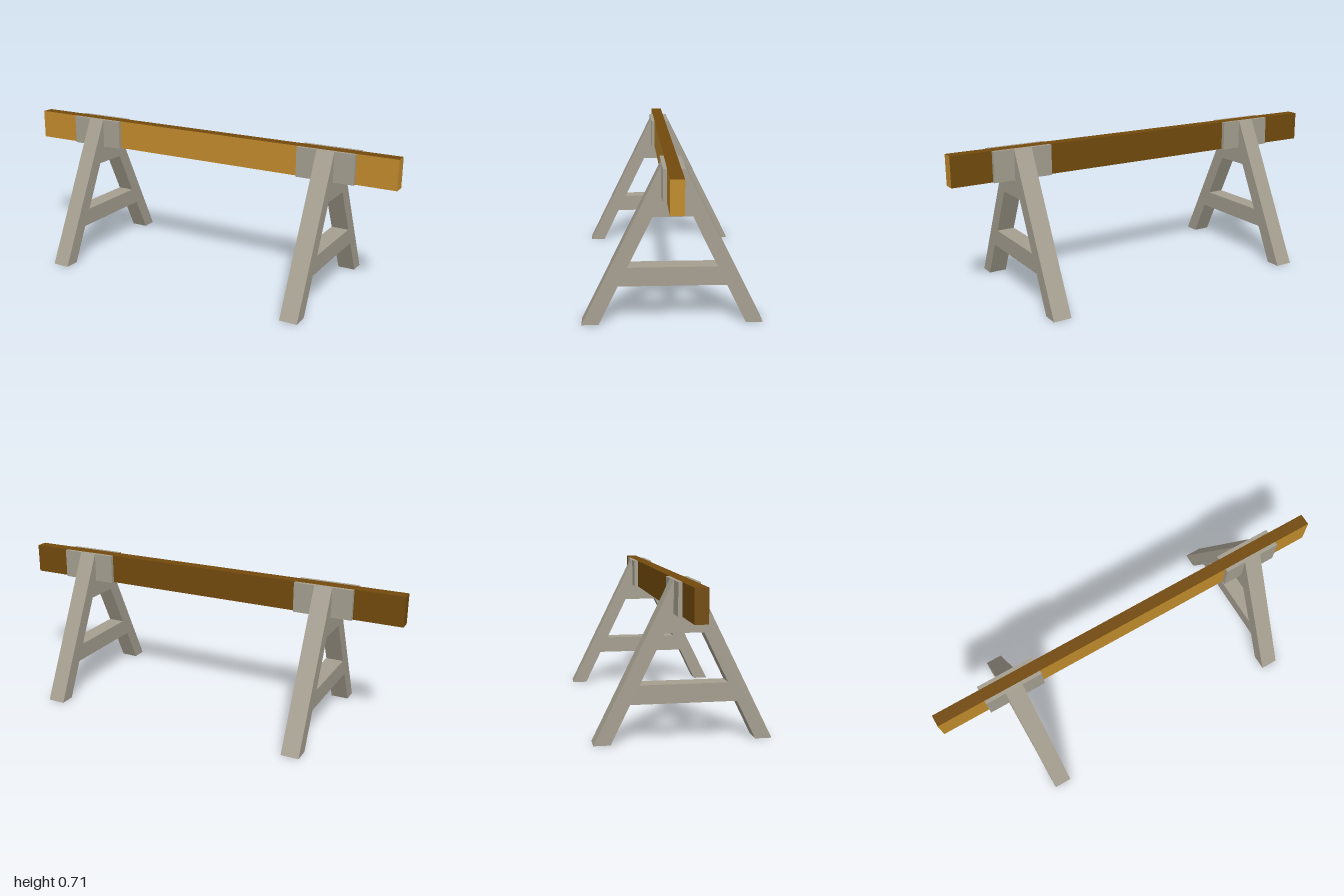
import * as THREE from 'three';

const wood = new THREE.MeshStandardMaterial({ color: 0xa59f90 });
wood.name = 'weathered grey wood';
const gold = new THREE.MeshStandardMaterial({ color: 0xc18b2c });
gold.name = 'golden wood';
const brown = new THREE.MeshStandardMaterial({ color: 0x724a0c });
brown.name = 'dark brown wood';

const LEG_WIDTH = 0.086;
const PLATE_LENGTH = 0.284;
const BEAM_BOTTOM = 0.563, TOP = 0.706;
const BEAM_HALF = 0.029, PLATE_OUTER = 0.047;
const FOOT_OUTER = 0.395, FOOT_INNER = 0.32, CROTCH = 0.56;

// Extrudes a (z, y) outline along x, centred on x = 0
function slab(name, points, width) {
  const shape = new THREE.Shape(points.map(([z, y]) => new THREE.Vector2(-z, y)));
  const geometry = new THREE.ExtrudeGeometry(shape, { depth: width, bevelEnabled: false });
  geometry.translate(0, 0, -width / 2).rotateY(Math.PI / 2);
  const mesh = new THREE.Mesh(geometry, wood);
  mesh.name = name;
  return mesh;
}

// Distance from the centre to the inner face of a leg at height y
const innerFace = (y) => FOOT_INNER + (PLATE_OUTER - FOOT_INNER) * (y / CROTCH);

// Crosspiece mitred to fit between the sloping legs
function crosspiece(name, low, high) {
  const a = innerFace(low), b = innerFace(high);
  return slab(name, [[-a, low], [a, low], [b, high], [-b, high]], LEG_WIDTH);
}

function createTrestle(name, x) {
  const trestle = new THREE.Group();
  trestle.name = name;
  for (const [label, s] of [['front', 1], ['back', -1]]) {
    // Sloping leg, cut upright where it meets the plate
    trestle.add(slab(label + 'Leg', [
      [s * FOOT_OUTER, 0], [s * FOOT_INNER, 0],
      [s * PLATE_OUTER, CROTCH], [s * PLATE_OUTER, TOP],
    ], LEG_WIDTH));
    // Plate clamping the beam
    const thickness = PLATE_OUTER - BEAM_HALF;
    const plate = new THREE.Mesh(
      new THREE.BoxGeometry(PLATE_LENGTH, TOP - BEAM_BOTTOM, thickness), wood);
    plate.position.set(0, (TOP + BEAM_BOTTOM) / 2, s * (BEAM_HALF + thickness / 2));
    plate.name = label + 'Plate';
    trestle.add(plate);
  }
  trestle.add(crosspiece('upperCrosspiece', 0.48, CROTCH));
  trestle.add(crosspiece('lowerCrosspiece', 0.174, 0.258));
  trestle.position.x = x;
  return trestle;
}

export function createModel() {
  const model = new THREE.Group();
  model.name = 'trestleBarrier';

  // Long beam: golden front and left end, dark elsewhere
  const beam = new THREE.Mesh(
    new THREE.BoxGeometry(2, TOP - BEAM_BOTTOM, BEAM_HALF * 2),
    [gold, brown, brown, brown, gold, brown]);
  beam.position.y = (TOP + BEAM_BOTTOM) / 2;
  beam.name = 'beam';
  model.add(beam);

  model.add(createTrestle('rightTrestle', -0.625), createTrestle('leftTrestle', 0.664));
  return model;
}
